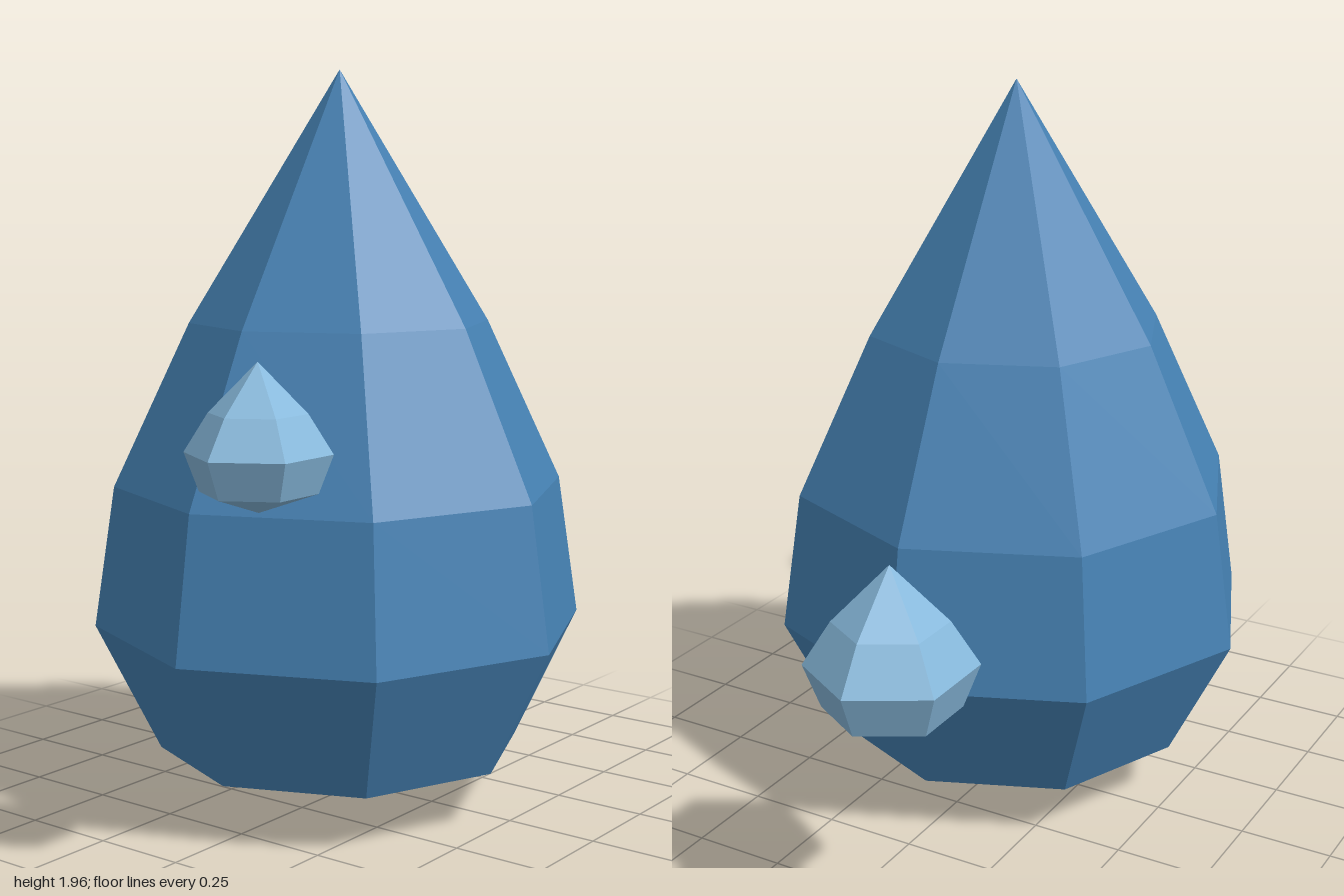
import * as THREE from 'three';

const deepBlue = new THREE.MeshStandardMaterial({ color: 0x4682b4 });
deepBlue.name = 'deepBlue';
const paleBlue = new THREE.MeshStandardMaterial({ color: 0x87b9dc });
paleBlue.name = 'paleBlue';

// Faceted drop: profile of [radius, height] pairs, bottom tip to top tip
function makeDrop(name, profile, sides, phiStart, material) {
  const points = profile.map(([r, y]) => new THREE.Vector2(r, y));
  const geometry = new THREE.LatheGeometry(points, sides, phiStart).toNonIndexed();
  geometry.computeVertexNormals(); // one normal per facet
  const mesh = new THREE.Mesh(geometry, material);
  mesh.name = name;
  return mesh;
}

export function createModel() {
  const group = new THREE.Group();
  group.name = 'waterDrops';

  // Large eight-sided drop
  const largeDrop = makeDrop('largeDrop', [
    [0, 0], [0.49, 0.147], [0.66, 0.49], [0.604, 0.865], [0.401, 1.297], [0, 1.955],
  ], 8, 0, deepBlue);
  largeDrop.position.x = -0.08;
  group.add(largeDrop);

  // Two six-sided droplets, the same shape at different sizes
  const droplet = [[0, 0], [0.171, 0.058], [0.214, 0.17], [0.143, 0.283], [0, 0.428]];
  const placements = [
    ['leftDroplet', 1, 0.785, 0.522, -0.145],
    ['rightDroplet', 0.8, -0.83, 0.928, 0.345],
  ];
  for (const [name, scale, x, y, z] of placements) {
    const mesh = makeDrop(name, droplet, 6, Math.PI / 2, paleBlue);
    mesh.scale.setScalar(scale);
    mesh.position.set(x, y, z);
    group.add(mesh);
  }
  return group;
}
